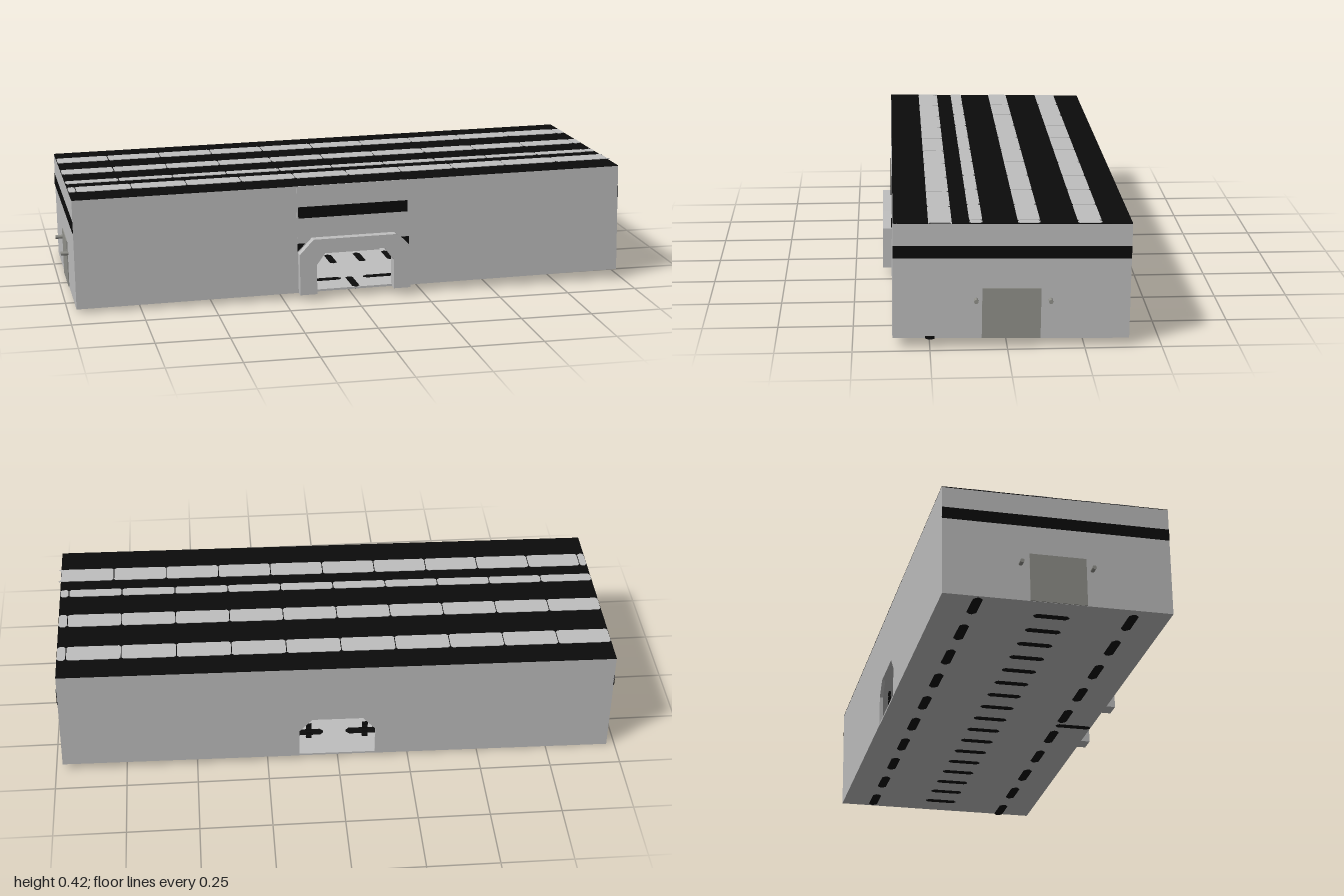
import * as THREE from 'three';

const mat = (name, color) => Object.assign(new THREE.MeshStandardMaterial({ color }), { name });

export function createModel() {
  const grey = mat('light grey', 0xbfbfbf);
  const doorGrey = mat('door grey', 0x92928c);
  const black = mat('black', 0x0b0b0b);

  const HX = 0.974, HZ = 0.383, H = 0.385, T = 0.012;
  const model = new THREE.Group();
  model.name = 'longBuilding';

  // The whole building leans slightly
  const tilt = new THREE.Group();
  tilt.name = 'tiltedBuilding';
  tilt.position.set(0, 0.21, -0.0155);
  tilt.rotation.set(-0.0163, 0, 0.0122);
  model.add(tilt);
  const body = new THREE.Group();
  body.name = 'building';
  body.position.y = -H / 2;
  tilt.add(body);

  const add = (name, geo, material, x = 0, y = 0, z = 0) => {
    const m = new THREE.Mesh(geo, material);
    m.name = name;
    m.position.set(x, y, z);
    body.add(m);
    return m;
  };
  const box = (name, material, w, h, d, x, y, z) =>
    add(name, new THREE.BoxGeometry(w, h, d), material, x, y, z);
  const outline = (pts) => new THREE.Shape(pts.map(([x, y]) => new THREE.Vector2(x, y)));
  const slab = (pts, depth) => new THREE.ExtrudeGeometry(outline(pts), { depth, bevelEnabled: false });

  // Flat plate with clipped corners, lying in the ground plane
  const plate = (w, d, c, h) => {
    const a = w / 2, b = d / 2;
    return slab([[-a + c, -b], [a - c, -b], [a, -b + c], [a, b - c],
      [a - c, b], [-a + c, b], [-a, b - c], [-a, -b + c]], h).rotateX(-Math.PI / 2);
  };

  // Chamfered arch line, left foot to right foot
  const arch = (w, shoulder, topW, top) =>
    [[-w, 0], [-w, shoulder], [-topW, top], [topW, top], [w, shoulder], [w, 0]];

  // Long walls with a gateway each
  const wall = (gate) => slab([[-HX, 0], ...gate, [HX, 0], [HX, H - 0.002], [-HX, H - 0.002]], T);
  const frontGate = arch(0.138, 0.105, 0.105, 0.15);
  add('frontWall', wall(frontGate), grey, 0, 0, HZ - T);
  add('backWall', wall(arch(0.135, 0.11, 0.09, 0.16)), grey, 0, 0, -HZ);

  // Floor and roof
  box('floor', grey, 2 * HX - 0.002, 0.007, 2 * HZ - 0.002, 0, 0.0035, 0);
  box('roof', grey, 2 * HX - 0.002, 0.01, 2 * HZ - 0.002, 0, H - 0.008, 0);
  box('roofDeck', black, 2 * HX, 0.003, 2 * HZ, 0, H - 0.0015, 0);

  // Rows of pale roof panels: [centre z, depth, first seam x]
  const rows = [[-0.247, 0.077, -0.978], [-0.052, 0.072, -0.978],
    [0.118, 0.042, -0.978], [0.233, 0.075, -1.139]];
  for (const [z, d, start] of rows) {
    for (let x = start; x < HX; x += 0.192) {
      const x0 = Math.max(x, -HX), x1 = Math.min(x + 0.192, HX);
      add('roofPanel', plate(x1 - x0 - 0.003, d, 0.007, 0.003), grey, (x0 + x1) / 2, H - 0.001, z);
    }
  }

  // End walls with stripe, door and two pegs
  for (const s of [-1, 1]) {
    box('endWall', grey, T, H - 0.002, 2 * HZ - 0.002, s * (HX - T / 2), H / 2 - 0.001, 0);
    box('endStripe', black, 0.004, 0.04, 2 * HZ, s * HX, 0.289, 0);
    box('endDoor', doorGrey, 0.006, 0.168, 0.19, s * HX, 0.085, 0);
    for (const z of [-0.125, 0.115]) {
      const geo = new THREE.CylinderGeometry(0.007, 0.007, 0.03, 10).rotateZ(Math.PI / 2);
      add('endPeg', geo, doorGrey, s * (HX + 0.011), 0.13, z);
    }
  }

  // Front centre panel, stripe and black corners beside the arch
  box('frontPanel', grey, 0.4, 0.185, 0.004, 0, 0.291, HZ);
  box('frontStripe', black, 0.39, 0.04, 0.004, 0, 0.289, HZ + 0.002);
  for (const s of [-1, 1]) {
    const pts = [[s * 0.2, 0.15], [s * 0.2, 0.178], [s * 0.172, 0.178]];
    add('archCorner', slab(s > 0 ? pts : pts.reverse(), 0.003), black, 0, 0, HZ);
  }

  // Projecting gateway arch
  add('frontArch', slab([...arch(0.198, 0.145, 0.148, 0.197), ...frontGate.slice().reverse()], 0.032),
    grey, 0, 0, HZ);
  box('innerLintel', grey, 0.2, 0.02, 0.03, 0, 0.14, HZ - 0.04);

  // Small black rungs inside the rear gateway
  for (const s of [-1, 1]) {
    for (let i = 0; i < 4; i++) box('rung', black, 0.02, 0.01, 0.008, s * 0.1, 0.062 + i * 0.017, -HZ + 0.03);
  }

  // Black slots in the floor: two long rows and one crosswise row
  for (let i = 0; i < 10; i++) {
    for (const [z, x] of [[-0.262, 0.905], [0.262, 0.925]]) {
      add('floorSlot', plate(0.12, 0.032, 0.012, 0.0095), black, x - i * 0.201, -0.0015, z);
    }
  }
  for (let i = 0; i < 17; i++) {
    add('crossSlot', plate(0.026, 0.12, 0.01, 0.0095), black, 0.87 - i * 0.109, -0.0015, 0);
  }
  add('gateSlot', plate(0.026, 0.13, 0.01, 0.0095), black, 0.01, -0.0015, 0.315);

  return model;
}
